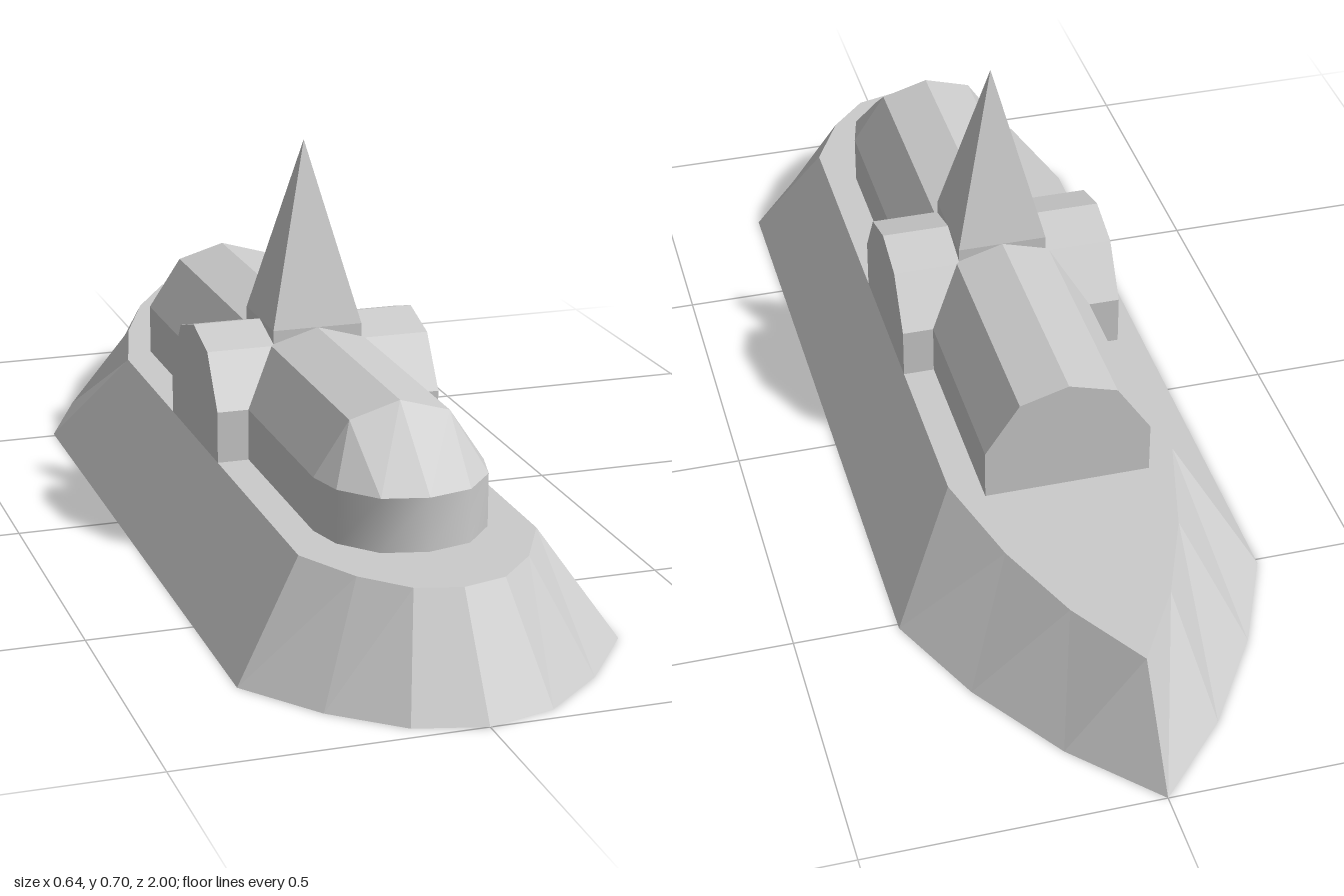
import * as THREE from 'three';

const flat = new THREE.MeshStandardMaterial({ color: 0xcccccc, flatShading: true });
const smooth = new THREE.MeshStandardMaterial({ color: 0xcccccc });
const DECK = 0.18, EAVE = 0.27, SHOULDER = 0.36, RIDGE = 0.385, CROSSING = 0.09;

function part(name, geometry, material = flat) {
  const mesh = new THREE.Mesh(geometry, material);
  mesh.name = name;
  return mesh;
}

// Mirrors a half outline (+x side) of [x, y, z] points to the -x side
function mirrored(half, closed) {
  const other = half.filter((p) => p[0] !== 0).reverse().map(([x, y, z]) => [-x, y, z]);
  const ring = [...half, ...other];
  if (closed) ring.push(half[0]);
  return ring;
}

// Joins two rows of points into a wall, optionally capping both ends
function loft(lower, upper, capped) {
  const n = lower.length, index = [];
  for (let i = 0; i < n - 1; i++) {
    index.push(i, n + i, i + 1, i + 1, n + i, n + i + 1);
    if (capped) index.push(0, i, i + 1, n, n + i + 1, n + i);
  }
  const g = new THREE.BufferGeometry();
  g.setAttribute('position', new THREE.Float32BufferAttribute([...lower, ...upper].flat(), 3));
  g.setIndex(index);
  g.computeVertexNormals();
  return g;
}

// Long hall with a four-sided roof, running along z
function hall(length) {
  const s = new THREE.Shape([
    [-0.145, DECK], [0.145, DECK], [0.145, EAVE], [0.085, SHOULDER],
    [0, RIDGE], [-0.085, SHOULDER], [-0.145, EAVE],
  ].map(([x, y]) => new THREE.Vector2(x, y)));
  return new THREE.ExtrudeGeometry(s, { depth: length, bevelEnabled: false });
}

export function createModel() {
  const model = new THREE.Group();
  model.name = 'boatShapedBuilding';

  // Sloping base, pointed at the back and rounded at the front
  const foot = [[0, -1], [0.13, -0.86], [0.24, -0.69], [0.32, -0.51],
    [0.32, 0.75], [0.222, 0.88], [0.115, 0.97], [0, 1]].map(([x, z]) => [x, 0, z]);
  const rim = [[0, -0.87], [0.085, -0.73], [0.15, -0.57], [0.2, -0.38],
    [0.2, 0.685], [0.142, 0.795], [0.075, 0.865], [0, 0.885]].map(([x, z]) => [x, DECK, z]);
  model.add(part('base', loft(mirrored(foot, true), mirrored(rim, true), true)));

  // Main hall
  const nave = part('nave', hall(1.01));
  nave.position.z = -0.42;
  model.add(nave);

  // Crossing hall
  const transept = part('transept', hall(0.4));
  transept.rotation.y = Math.PI / 2;
  transept.position.set(-0.2, 0, CROSSING);
  model.add(transept);

  // Rounded front end: smooth wall and faceted roof
  const outline = [[0.145, 0.59], [0.128, 0.655], [0.075, 0.715], [0, 0.733]];
  const row = (y) => mirrored(outline.map(([x, z]) => [x, y, z]), false);
  const s = [0.085, SHOULDER, 0.59];
  const roofTop = mirrored([s, s, s, [0, RIDGE, 0.59]], false);
  model.add(part('apseWall', loft(row(DECK), row(EAVE), false), smooth));
  model.add(part('apseRoof', loft(row(EAVE), roofTop, false)));

  // Spire on a square footing above the crossing
  const footing = part('spireFooting', new THREE.BoxGeometry(0.16, 0.045, 0.16));
  footing.position.set(0, RIDGE - 0.0225, CROSSING);
  const cone = new THREE.ConeGeometry(0.08 * Math.SQRT2, 0.7 - RIDGE, 4, 1);
  cone.rotateY(Math.PI / 4);
  const spire = part('spire', cone);
  spire.position.set(0, (0.7 + RIDGE) / 2, CROSSING);
  model.add(footing, spire);

  return model;
}
